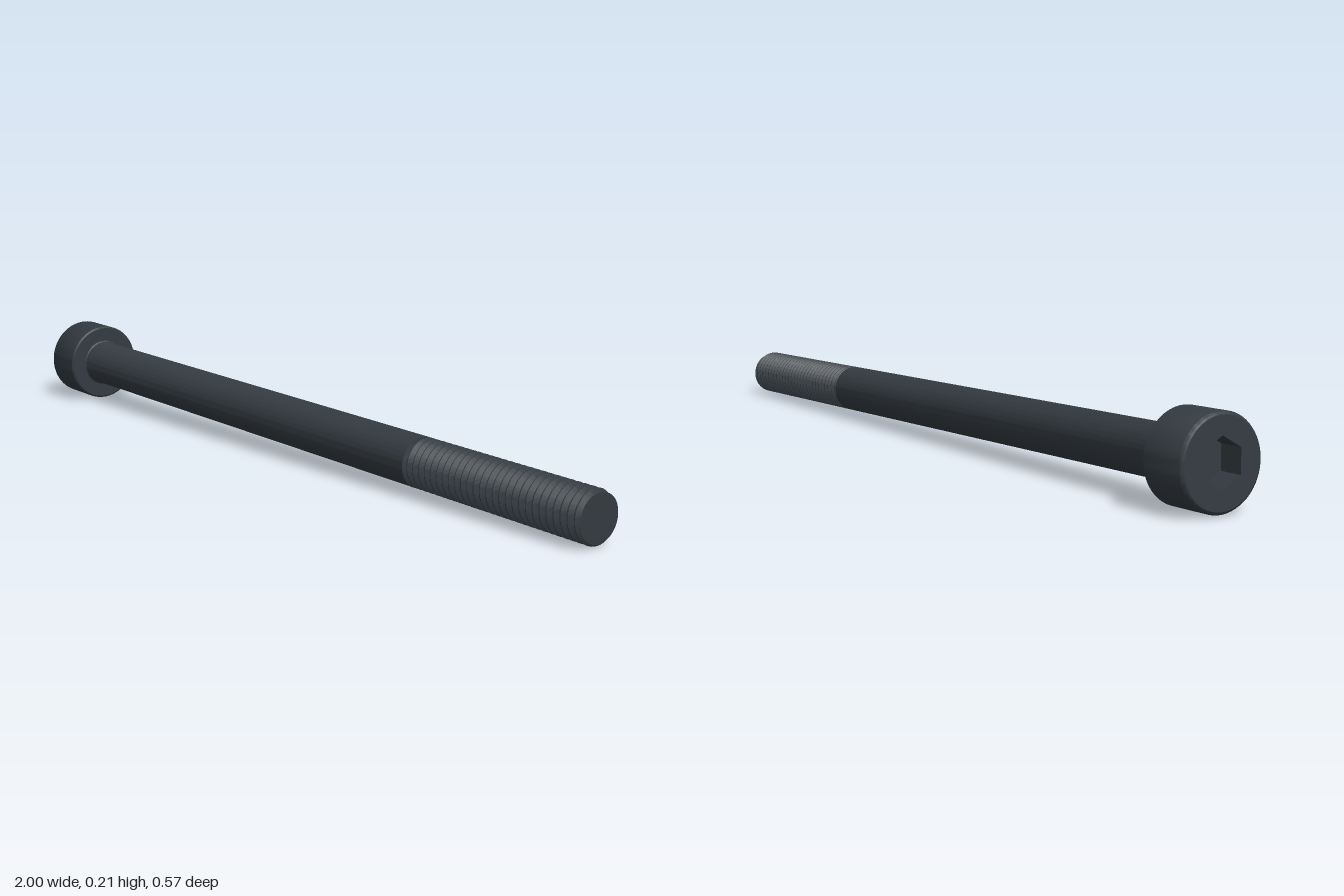
import * as THREE from 'three';
import { toCreasedNormals } from 'three/addons/utils/BufferGeometryUtils.js';

const SEGMENTS = 64;
const HEAD_R = 0.102, HEAD_H = 0.118, SHANK_R = 0.058;
const LENGTH = 2.01, THREAD_L = 0.519, PITCH = 0.0189, DEPTH = 0.0105;
const SOCKET_R = 0.0545, SOCKET_DEPTH = 0.059, FACE_R = 0.095;

const lathe = (points) => new THREE.LatheGeometry(points.map(([r, y]) => new THREE.Vector2(r, y)), SEGMENTS);

// Helical thread: a lathe of ridges, sheared by one pitch per turn and trimmed at both ends
function threadGeometry() {
  const points = [];
  for (let i = -1; i <= Math.ceil(THREAD_L / PITCH); i++) {
    const y = i * PITCH;
    points.push([SHANK_R - DEPTH, y], [SHANK_R - DEPTH, y + PITCH * 0.2]);
    points.push([SHANK_R, y + PITCH * 0.54], [SHANK_R, y + PITCH * 0.66]);
  }
  const geometry = lathe(points);
  const pos = geometry.attributes.position;
  const rows = points.length;
  for (let i = 0; i < pos.count; i++) {
    const turn = Math.floor(i / rows) / SEGMENTS;
    const y = THREE.MathUtils.clamp(pos.getY(i) + turn * PITCH, 0, THREAD_L);
    const r = Math.hypot(pos.getX(i), pos.getZ(i));
    // chamfer at the tip
    const k = Math.min(r, 0.053 + (THREAD_L - y)) / r;
    pos.setXYZ(i, pos.getX(i) * k, y, pos.getZ(i) * k);
  }
  return toCreasedNormals(geometry, 0.5);
}

// Head face with the hexagonal socket cut through it
function socketGeometry() {
  const face = new THREE.Shape().absarc(0, 0, FACE_R, 0, Math.PI * 2);
  const hex = [];
  for (let i = 0; i < 6; i++) {
    const a = Math.PI / 2 + i * Math.PI / 3;
    hex.push(new THREE.Vector2(Math.cos(a) * SOCKET_R, Math.sin(a) * SOCKET_R));
  }
  face.holes.push(new THREE.Path(hex));
  return new THREE.ExtrudeGeometry(face, { depth: SOCKET_DEPTH, bevelEnabled: false, curveSegments: SEGMENTS / 2 })
    .rotateX(-Math.PI / 2);
}

export function createModel() {
  const model = new THREE.Group();
  const bolt = new THREE.Group();
  bolt.name = 'bolt';
  model.add(bolt);

  const steel = new THREE.MeshStandardMaterial({ color: 0x343b41 });
  steel.name = 'blackened steel';
  const add = (name, geometry, y = 0) => {
    const mesh = new THREE.Mesh(geometry, steel);
    mesh.name = name;
    mesh.position.y = y;
    bolt.add(mesh);
  };

  // Head: chamfered cylinder, socket and socket floor
  add('head', toCreasedNormals(lathe([
    [FACE_R, 0], [0.099, 0.002], [HEAD_R, 0.007], [HEAD_R, HEAD_H - 0.004],
    [HEAD_R - 0.004, HEAD_H], [SHANK_R - 0.002, HEAD_H],
  ]), 0.6));
  add('socket', socketGeometry());
  add('socketFloor', new THREE.CircleGeometry(SOCKET_R + 0.005, 24).rotateX(Math.PI / 2), SOCKET_DEPTH - 0.001);

  // Plain shank with a small fillet under the head
  const threadStart = LENGTH - THREAD_L;
  add('shank', toCreasedNormals(lathe([
    [SHANK_R + 0.004, HEAD_H], [SHANK_R + 0.001, HEAD_H + 0.002], [SHANK_R, HEAD_H + 0.005],
    [SHANK_R, threadStart], [SHANK_R - DEPTH - 0.002, threadStart + 0.001],
  ]), 0.6));

  // Threaded end and its flat tip
  add('thread', threadGeometry(), threadStart);
  add('tip', new THREE.CircleGeometry(0.053, SEGMENTS).rotateX(-Math.PI / 2), LENGTH);

  // Lay the bolt on its side, resting on the head rim and the tip
  const start = new THREE.Vector3(-0.979, 0.1035, -0.186);
  const axis = new THREE.Vector3(0.988, 0.0595, 0.228).sub(start).normalize();
  const side = new THREE.Vector3().crossVectors(axis, new THREE.Vector3(0, 1, 0)).normalize();
  const up = new THREE.Vector3().crossVectors(side, axis);
  bolt.quaternion.setFromRotationMatrix(new THREE.Matrix4().makeBasis(side, axis, up.negate()).premultiply(new THREE.Matrix4()));
  bolt.quaternion.setFromRotationMatrix(new THREE.Matrix4().makeBasis(side, axis, new THREE.Vector3().crossVectors(side, axis)));
  bolt.position.copy(start);
  return model;
}
